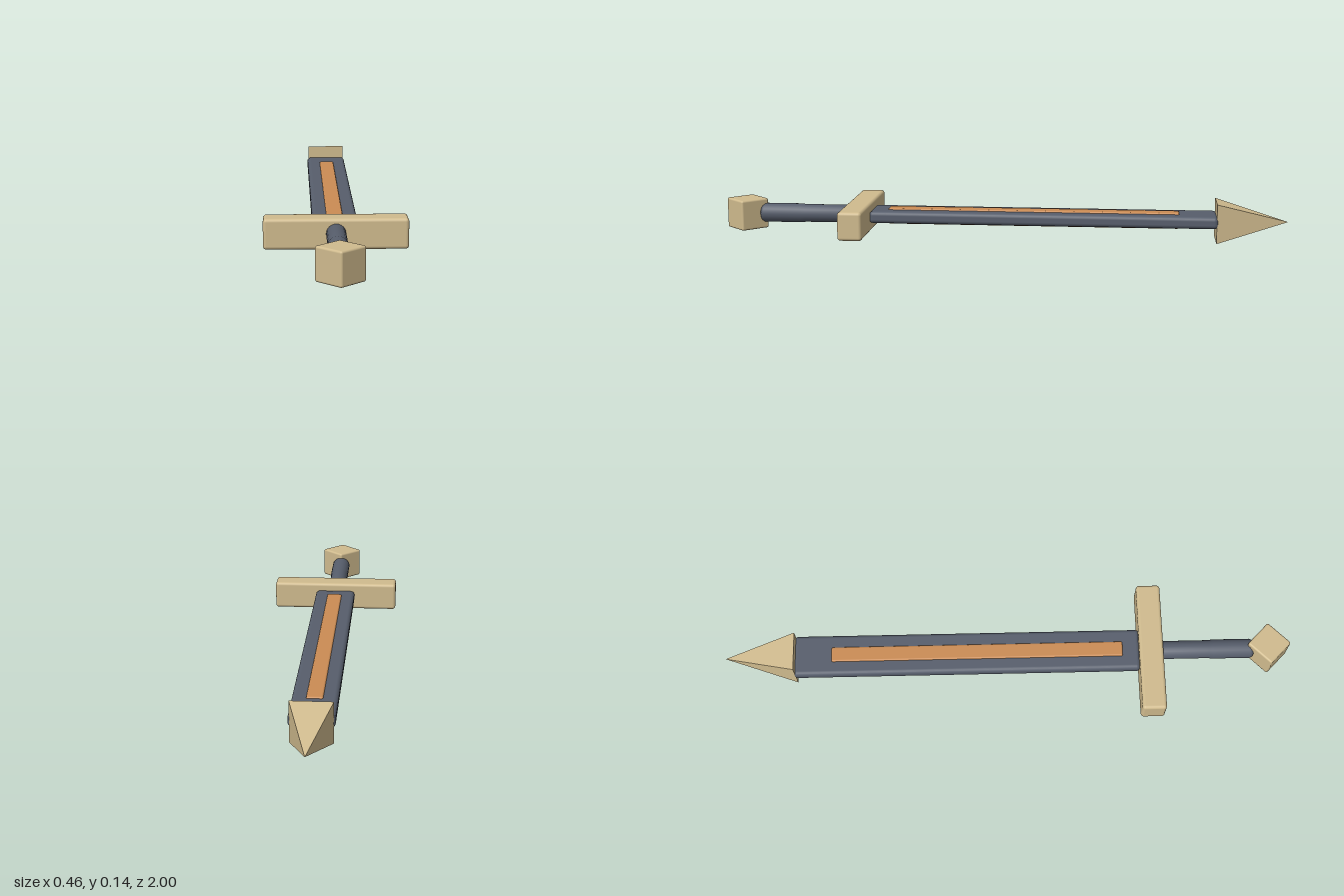
import * as THREE from 'three';
import { RoundedBoxGeometry } from 'three/addons/geometries/RoundedBoxGeometry.js';

const mat = (name, color) => {
  const m = new THREE.MeshStandardMaterial({ color });
  m.name = name;
  return m;
};

export function createModel() {
  const gold = mat('paleGold', 0xd0bb8e);
  const slate = mat('slate', 0x575e6c);
  const copper = mat('copper', 0xcb8c54);

  const model = new THREE.Group();
  model.name = 'sword';
  const midY = 0.072; // height of the sword's long axis

  const add = (name, geometry, material, z, y = midY) => {
    const mesh = new THREE.Mesh(geometry, material);
    mesh.name = name;
    mesh.position.set(0, y, z);
    model.add(mesh);
    return mesh;
  };
  const box = (w, h, d, r) => new RoundedBoxGeometry(w, h, d, 3, r);

  // Blade with soft edges
  add('blade', box(0.148, 0.042, 1.225, 0.014), slate, -0.143, 0.075);

  // Inlay running through the blade, showing on both faces
  add('inlay', box(0.054, 0.056, 1.03, 0.006), copper, -0.107, 0.073);

  // Square pyramid point
  const tip = new THREE.ConeGeometry(0.069 * Math.SQRT2, 0.25, 4)
    .rotateY(Math.PI / 4)
    .rotateX(-Math.PI / 2)
    .toNonIndexed();
  tip.computeVertexNormals();
  add('tip', tip, gold, -0.875);

  // Crossguard
  add('crossguard', box(0.464, 0.1, 0.085, 0.011), gold, 0.508);

  // Round grip, a little thicker toward the pommel, with a softened end
  const profile = [
    [0, 0.5], [0.032, 0.5], [0.032, 0.71], [0.034, 0.73],
    [0.034, 0.86], [0.031, 0.868], [0.026, 0.872], [0, 0.872],
  ].map(([r, z]) => new THREE.Vector2(r, z));
  add('grip', new THREE.LatheGeometry(profile, 24).rotateX(Math.PI / 2), slate, 0, 0.074);

  // Cube pommel turned on its corner
  const pommel = add('pommel', box(0.108, 0.108, 0.108, 0.007), gold, 0.925);
  pommel.rotation.y = Math.PI / 4;

  return model;
}
